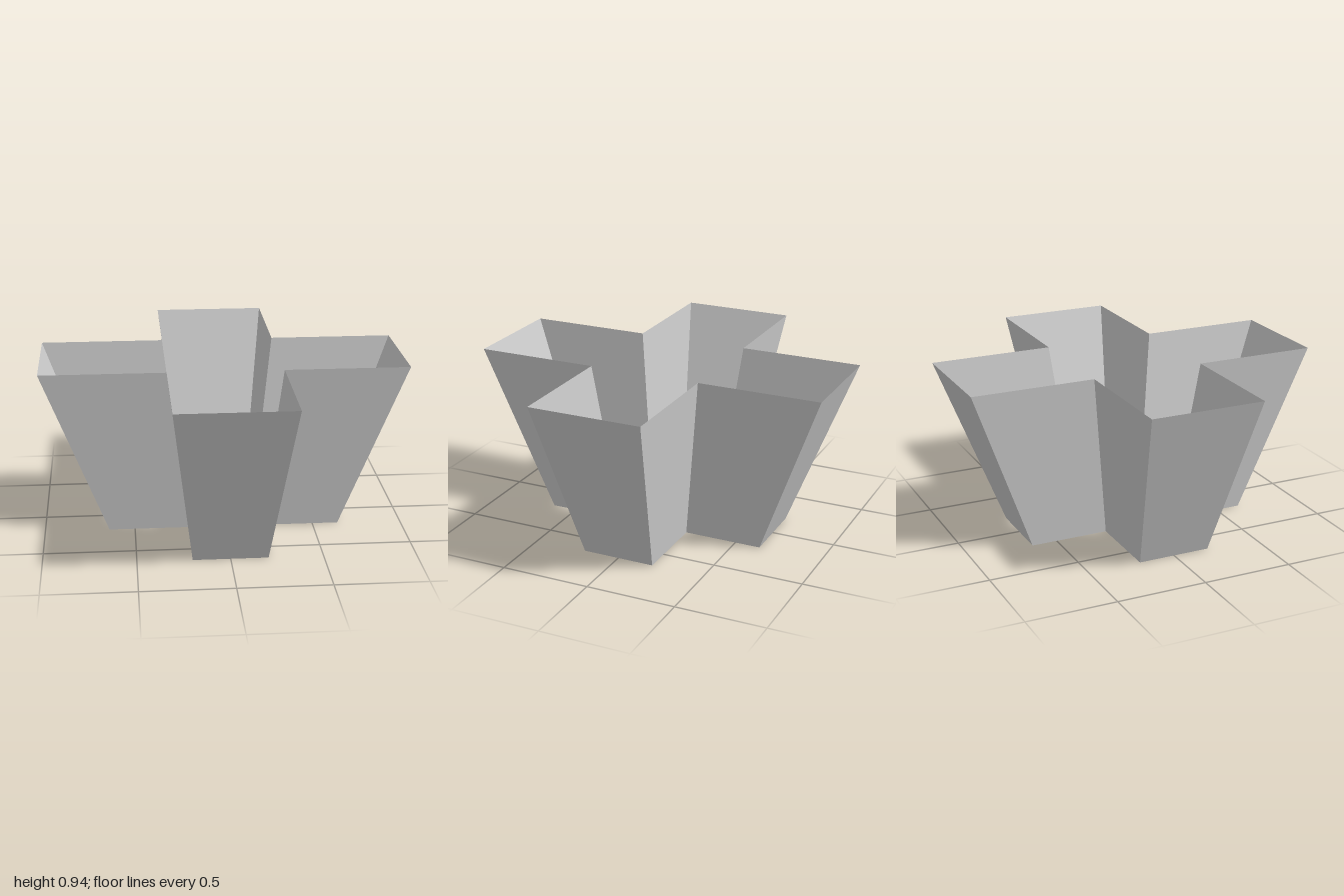
import * as THREE from 'three';

const HEIGHT = 0.945;
const HALF_WIDTH = 0.316; // half the width of one arm at the rim
const BASE_SCALE = 0.643; // size of the base outline relative to the rim

// Plus-shaped outline as [x, z] corners: three per arm, turned in quarter steps
function crossOutline(reach, half) {
  const points = [];
  let arm = [[-half, reach], [half, reach], [half, half]];
  for (let i = 0; i < 4; i++) {
    points.push(...arm);
    arm = arm.map(([x, z]) => [z, -x]);
  }
  return points;
}

// Flat walls joining the base outline to the rim outline, open at both ends
function taperedWalls(outline) {
  const positions = [];
  const base = ([x, z]) => [x * BASE_SCALE, 0, z * BASE_SCALE];
  const rim = ([x, z]) => [x, HEIGHT, z];
  outline.forEach((p, i) => {
    const q = outline[(i + 1) % outline.length];
    positions.push(...base(p), ...base(q), ...rim(q));
    positions.push(...base(p), ...rim(q), ...rim(p));
  });
  const geometry = new THREE.BufferGeometry();
  geometry.setAttribute('position', new THREE.Float32BufferAttribute(positions, 3));
  geometry.computeVertexNormals();
  return geometry;
}

export function createModel() {
  const group = new THREE.Group();
  group.name = 'crossShell';
  const material = new THREE.MeshStandardMaterial({
    color: 0xcccccc, flatShading: true, side: THREE.DoubleSide,
  });
  const walls = new THREE.Mesh(taperedWalls(crossOutline(1, HALF_WIDTH)), material);
  walls.name = 'taperedCrossWalls';
  group.add(walls);
  return group;
}
